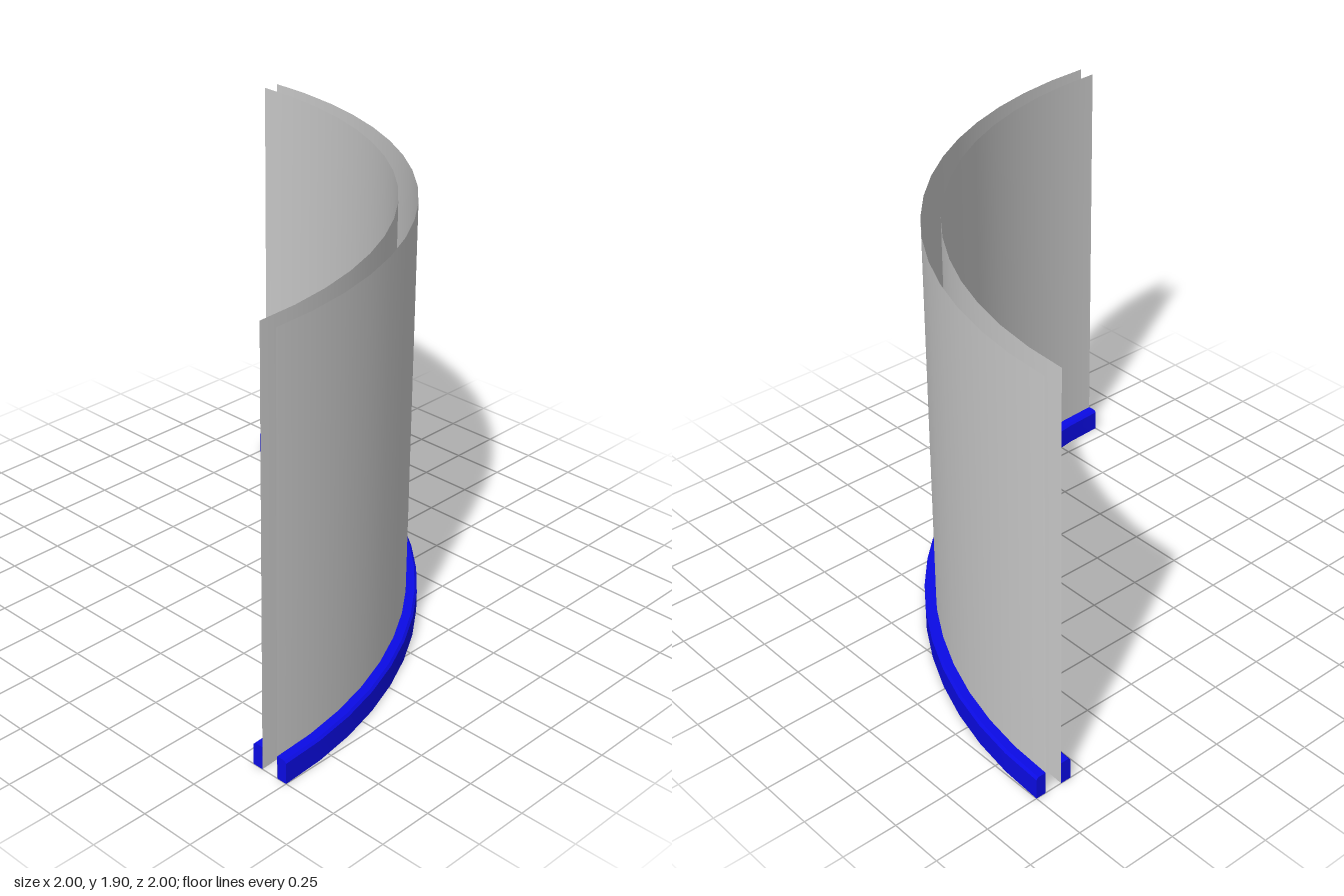
import * as THREE from 'three';
import { toCreasedNormals } from 'three/addons/utils/BufferGeometryUtils.js';

const SEGMENTS = 16;
const SWEEP = Math.PI / 2;
const WALL_HEIGHT = 1.905;
const BOARD_HEIGHT = 0.105;
const BOARD_THICKNESS = 0.048;
const BEVEL = 0.01;

const grey = new THREE.MeshStandardMaterial({ color: 0xcccccc, side: THREE.DoubleSide });
const blue = new THREE.MeshStandardMaterial({ color: 0x0b0be6, side: THREE.DoubleSide });

// Thin quarter-round wall skin, open at its ends, top and bottom
function wallSkin(name, radius) {
  const geometry = new THREE.CylinderGeometry(radius, radius, WALL_HEIGHT, SEGMENTS, 1, true, 0, SWEEP);
  geometry.translate(0, WALL_HEIGHT / 2, 0);
  const mesh = new THREE.Mesh(geometry, grey);
  mesh.name = name;
  return mesh;
}

// Skirting board against a wall; side is +1 for the outer face, -1 for the inner face
function skirtingBoard(name, wallRadius, side) {
  const group = new THREE.Group();
  group.name = name;
  const face = wallRadius + side * BOARD_THICKNESS;
  const profile = [
    [wallRadius, 0],
    [face, 0],
    [face, BOARD_HEIGHT - BEVEL],
    [face - side * BEVEL, BOARD_HEIGHT],
    [wallRadius, BOARD_HEIGHT],
  ].map(([r, y]) => new THREE.Vector2(r, y));
  if (side < 0) profile.reverse();

  const sweep = new THREE.LatheGeometry([...profile, profile[0]], SEGMENTS, 0, SWEEP);
  const board = new THREE.Mesh(toCreasedNormals(sweep, Math.PI / 6), blue);
  board.name = 'board';
  group.add(board);

  // Flat ends
  for (const turn of [0, -Math.PI / 2]) {
    const cap = new THREE.Mesh(new THREE.ShapeGeometry(new THREE.Shape(profile)), blue);
    cap.name = 'boardEnd';
    cap.rotation.y = turn;
    group.add(cap);
  }
  return group;
}

export function createModel() {
  const model = new THREE.Group();
  model.name = 'curvedWall';

  // All arcs share one centre at the back corner
  const arcs = new THREE.Group();
  arcs.name = 'wallArcs';
  arcs.position.set(-1, 0, -1);
  arcs.add(
    wallSkin('outerWall', 1.951),
    wallSkin('innerWall', 1.871),
    skirtingBoard('outerSkirting', 1.952, 1),
    skirtingBoard('innerSkirting', 1.87, -1),
  );
  model.add(arcs);
  return model;
}
